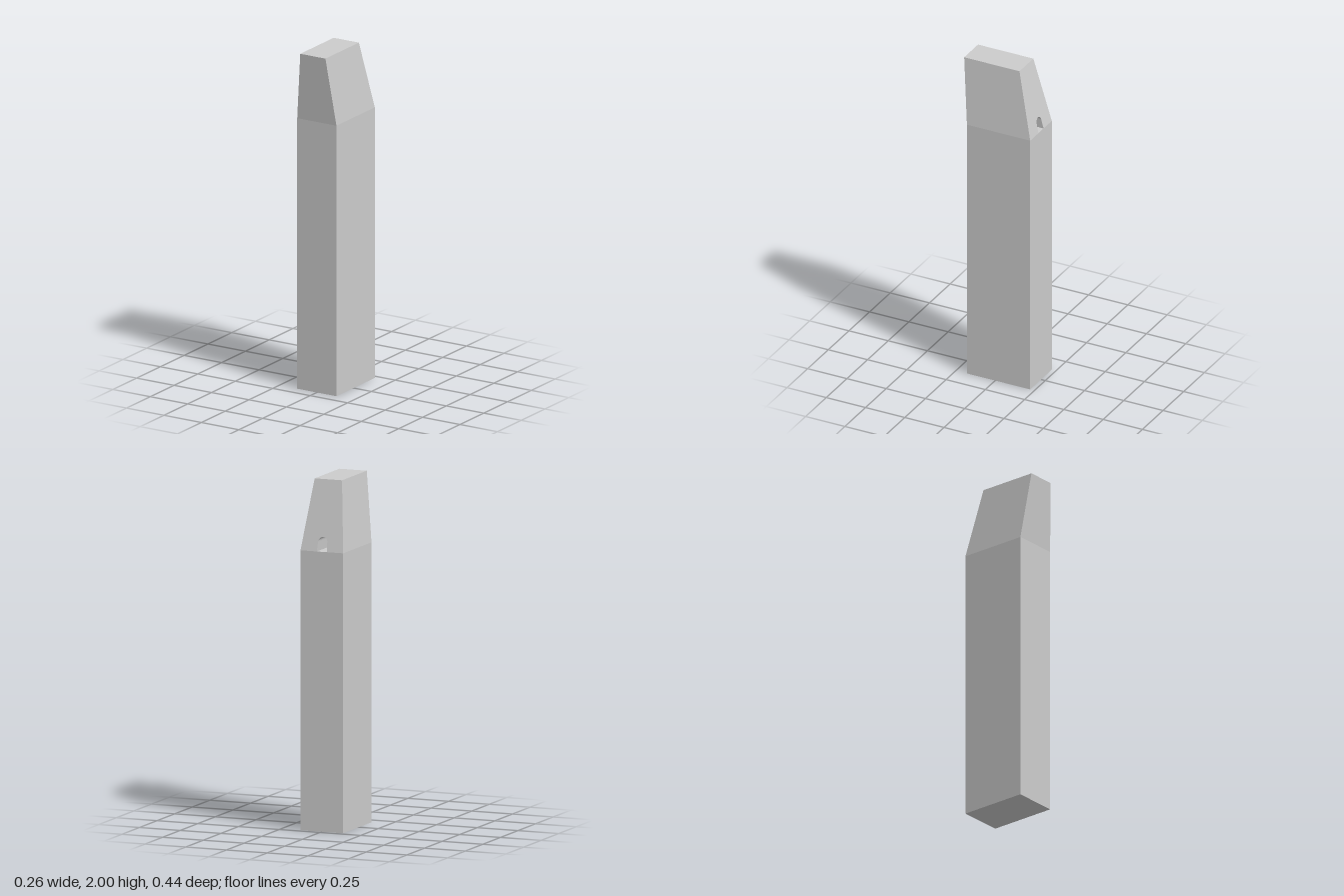
import * as THREE from 'three';

const BASE = 0, SHOULDER = 1.6, TOP = 2;
const BACK = -0.223, TOP_BACK = -0.13;
const POCKET_END = -0.07;

const material = new THREE.MeshStandardMaterial({ color: 0xcccccc, flatShading: true });

// Four corners at height y, counter-clockwise seen from above, starting front left of the sheet
const ring = (y, w, front, back) =>
  [[-w, y, front], [w, y, front], [w, y, back], [-w, y, back]];

// Mesh from a list of flat quads
function quadMesh(name, quads) {
  const positions = quads.flatMap(([a, b, c, d]) => [a, b, c, a, c, d]).flat();
  const geometry = new THREE.BufferGeometry();
  geometry.setAttribute('position', new THREE.Float32BufferAttribute(positions, 3));
  geometry.computeVertexNormals();
  const mesh = new THREE.Mesh(geometry, material);
  mesh.name = name;
  return mesh;
}

// Quads joining side i of a lower and an upper ring
const sides = (low, up, indices) => indices.map((i) => {
  const j = (i + 1) % 4;
  return [low[i], low[j], up[j], up[i]];
});

// Depth of the sloping back at height y
const slopeZ = (y) => THREE.MathUtils.mapLinear(y, SHOULDER, TOP, BACK, TOP_BACK);

// Flat panel facing backwards, each vertex set to a depth that depends on its height
function backPanel(name, points, depth) {
  const shape = new THREE.Shape(points.map(([x, y]) => new THREE.Vector2(x, y)));
  const geometry = new THREE.ShapeGeometry(shape).rotateY(Math.PI);
  const p = geometry.attributes.position;
  for (let i = 0; i < p.count; i++) p.setZ(i, depth(p.getY(i)));
  geometry.computeVertexNormals();
  const mesh = new THREE.Mesh(geometry, material);
  mesh.name = name;
  return mesh;
}

export function createModel() {
  const group = new THREE.Group();
  group.name = 'taperedBlock';

  const bottom = ring(BASE, 0.131, 0.18, BACK);
  const shoulder = ring(SHOULDER, 0.131, 0.18, BACK);
  const top = ring(TOP, 0.084, 0.222, TOP_BACK);

  // Straight lower shaft with its underside
  group.add(quadMesh('shaft', [...sides(bottom, shoulder, [0, 1, 2, 3]), [...bottom].reverse()]));

  // Tapered head: front, both sides and the flat top
  group.add(quadMesh('head', [...sides(shoulder, top, [0, 1, 3]), top]));

  // Arched outline of the opening, from one foot over the crown to the other
  const arch = [[-0.031, SHOULDER]];
  const steps = 14, radius = 0.028;
  for (let i = 0; i <= steps; i++) {
    const a = Math.PI * (1 - i / steps);
    arch.push([radius * Math.cos(a), 1.654 + radius * Math.sin(a)]);
  }
  arch.push([0.031, SHOULDER]);

  // Sloping back of the head, cut out around the arch
  group.add(backPanel('headBack',
    [[-0.131, SHOULDER], ...arch, [0.131, SHOULDER], [0.084, TOP], [-0.084, TOP]], slopeZ));

  // Pocket walls and floor, then its end wall
  const walls = arch.map(([x, y], i) => {
    const [x2, y2] = arch[(i + 1) % arch.length];
    return [[x, y, slopeZ(y)], [x2, y2, slopeZ(y2)], [x2, y2, POCKET_END], [x, y, POCKET_END]];
  });
  group.add(quadMesh('pocketWalls', walls));
  group.add(backPanel('pocketEnd', arch, () => POCKET_END));

  return group;
}
